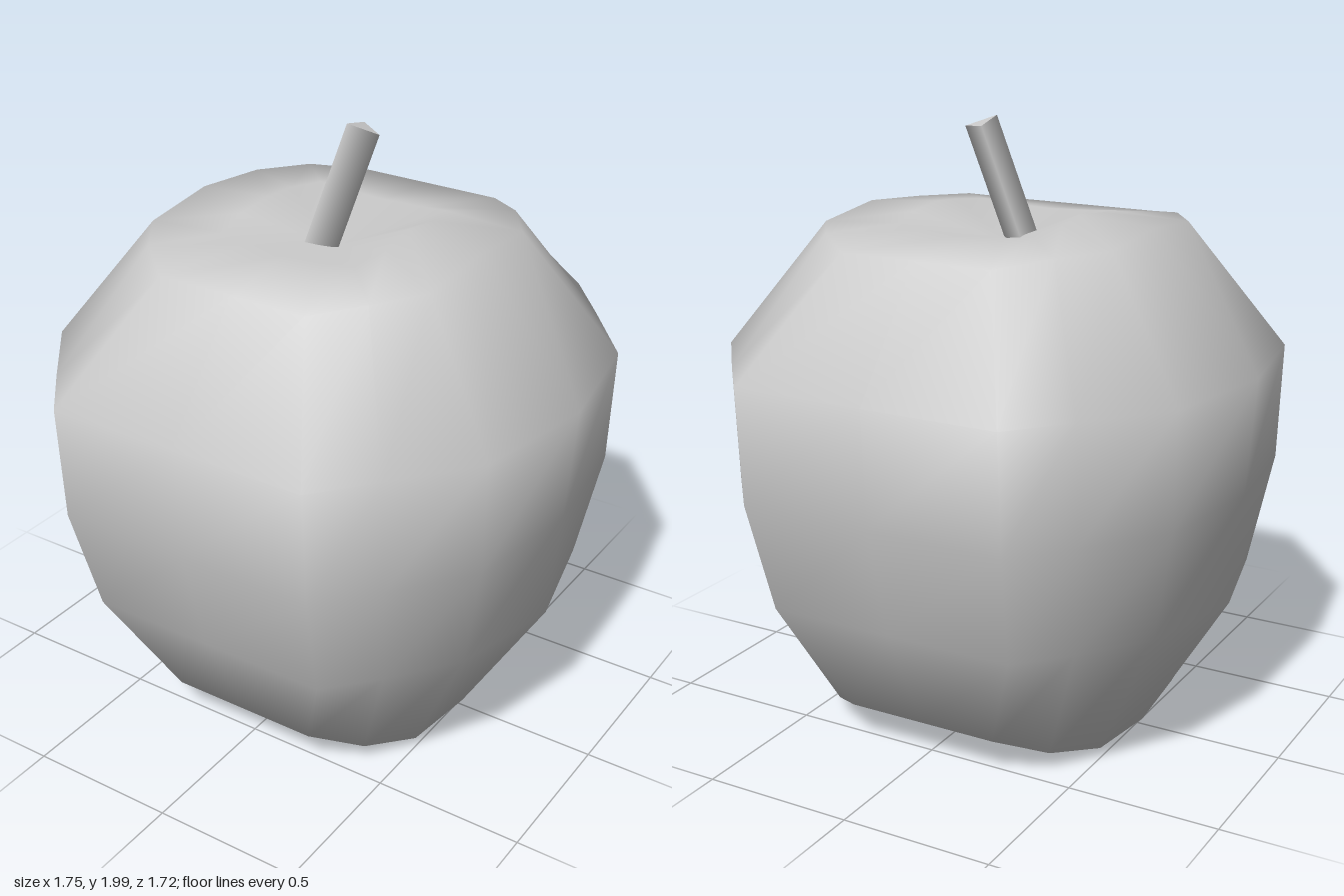
import * as THREE from 'three';

// One quarter of each ring, from the side (z = 0) round to the front (x = 0), bottom to top
const RINGS = [
  [[0.26, 0.01, 0], [0.27, 0.02, 0.14], [0.24, 0.03, 0.27], [0.14, 0.04, 0.28], [0, 0.045, 0.28]],
  [[0.52, 0.03, 0], [0.5, 0.045, 0.28], [0.4, 0.075, 0.44], [0.26, 0.135, 0.56], [0, 0.135, 0.56]],
  [[0.81, 0.51, 0], [0.72, 0.51, 0.38], [0.56, 0.51, 0.59], [0.42, 0.51, 0.745], [0, 0.51, 0.745]],
  [[0.845, 0.88, 0], [0.79, 0.88, 0.42], [0.6, 0.88, 0.66], [0.45, 0.88, 0.84], [0, 0.88, 0.84]],
  [[0.875, 1.26, 0], [0.8, 1.26, 0.43], [0.6, 1.26, 0.68], [0.45, 1.26, 0.86], [0, 1.26, 0.86]],
  [[0.52, 1.69, 0], [0.51, 1.665, 0.28], [0.4, 1.66, 0.44], [0.26, 1.635, 0.56], [0, 1.635, 0.56]],
  [[0.26, 1.71, 0], [0.27, 1.695, 0.14], [0.24, 1.68, 0.27], [0.14, 1.67, 0.28], [0, 1.665, 0.28]],
];
const SIDES = 16;

// Mirror a quarter into a full closed ring
function fullRing(quarter) {
  return Array.from({ length: SIDES }, (_, i) => {
    const q = Math.floor(i / 4);
    const [x, y, z] = quarter[q % 2 ? 4 - (i % 4) : i % 4];
    return [q === 1 || q === 2 ? -x : x, y, q >= 2 ? -z : z];
  });
}

function fruitGeometry() {
  const points = RINGS.flatMap(fullRing);
  const index = [];
  const bottom = points.push([0, 0.11, 0]) - 1;
  const top = points.push([0, 1.6, 0]) - 1;
  const last = (RINGS.length - 1) * SIDES;
  for (let i = 0; i < SIDES; i++) {
    const j = (i + 1) % SIDES;
    // dimples under and on top
    index.push(bottom, i, j, top, last + j, last + i);
    // wall
    for (let r = 0; r < last; r += SIDES) {
      index.push(r + i, r + SIDES + i, r + j, r + j, r + SIDES + i, r + SIDES + j);
    }
  }
  const geometry = new THREE.BufferGeometry();
  geometry.setAttribute('position', new THREE.Float32BufferAttribute(points.flat(), 3));
  geometry.setIndex(index);
  geometry.computeVertexNormals();
  return geometry;
}

export function createModel() {
  const group = new THREE.Group();
  group.name = 'apple';
  const material = new THREE.MeshStandardMaterial({ color: 0xcccccc });

  const fruit = new THREE.Mesh(fruitGeometry(), material);
  fruit.name = 'fruit';
  group.add(fruit);

  // Leaning three-sided stem
  const base = new THREE.Vector3(-0.042, 1.59, 0.033);
  const tip = new THREE.Vector3(0.06, 1.983, -0.06);
  const along = tip.clone().sub(base);
  const stem = new THREE.Mesh(
    new THREE.CylinderGeometry(0.061, 0.061, along.length(), 3, 1, false, Math.PI / 2), material);
  stem.name = 'stem';
  stem.position.copy(base).add(tip).multiplyScalar(0.5);
  stem.quaternion.setFromUnitVectors(new THREE.Vector3(0, 1, 0), along.normalize());
  group.add(stem);

  return group;
}
